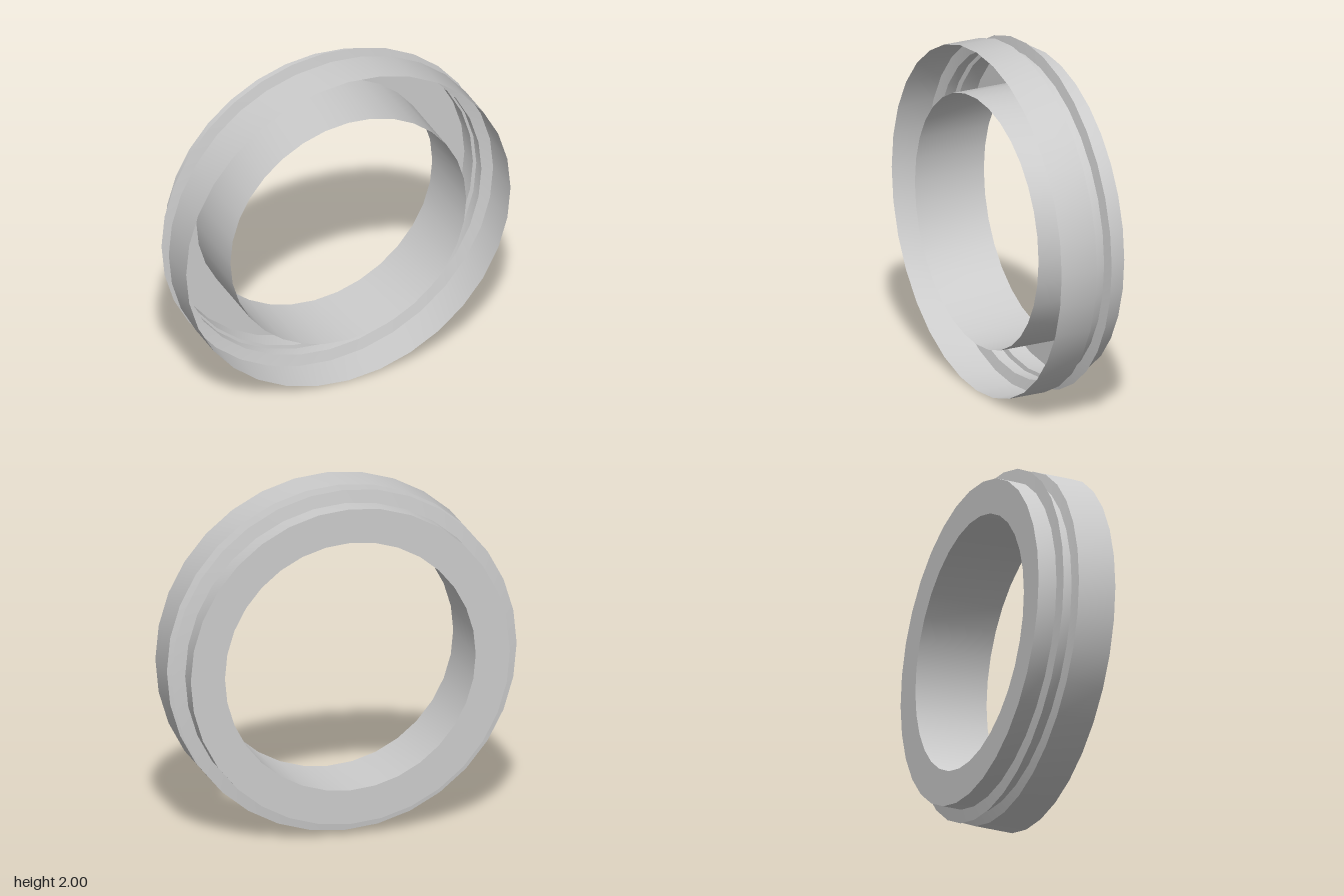
import * as THREE from 'three';
import { toCreasedNormals } from 'three/addons/utils/BufferGeometryUtils.js';

const SIDES = 32;
const HALF_DEPTH = 0.217;
const BORE = 0.727;
const REAR = 0.925;

const material = new THREE.MeshStandardMaterial({ color: 0xcccccc, side: THREE.DoubleSide });

// Thin shell turned around the z axis from [radius, z] points.
function turned(name, profile) {
  const points = profile.map(([r, z]) => new THREE.Vector2(r, z));
  const geometry = new THREE.LatheGeometry(points, SIDES);
  geometry.rotateX(Math.PI / 2);
  const mesh = new THREE.Mesh(toCreasedNormals(geometry, 0.5), material);
  mesh.name = name;
  mesh.position.y = 1;
  return mesh;
}

export function createModel() {
  const group = new THREE.Group();
  group.name = 'ring';

  // Inner tube, open at the front
  group.add(turned('innerTube', [[BORE, HALF_DEPTH], [BORE, -HALF_DEPTH]]));

  // Flat back wall closing the channel between tube and sleeve
  group.add(turned('backWall', [[BORE, -HALF_DEPTH], [REAR, -HALF_DEPTH]]));

  // Outer sleeve: rear band, sharp flange, groove, sloped step, wide front band
  group.add(turned('outerSleeve', [
    [REAR, -HALF_DEPTH],
    [REAR, -0.108],
    [1, -0.098],
    [0.935, -0.085],
    [0.935, -0.02],
    [1, -0.005],
    [1, HALF_DEPTH],
  ]));

  return group;
}
